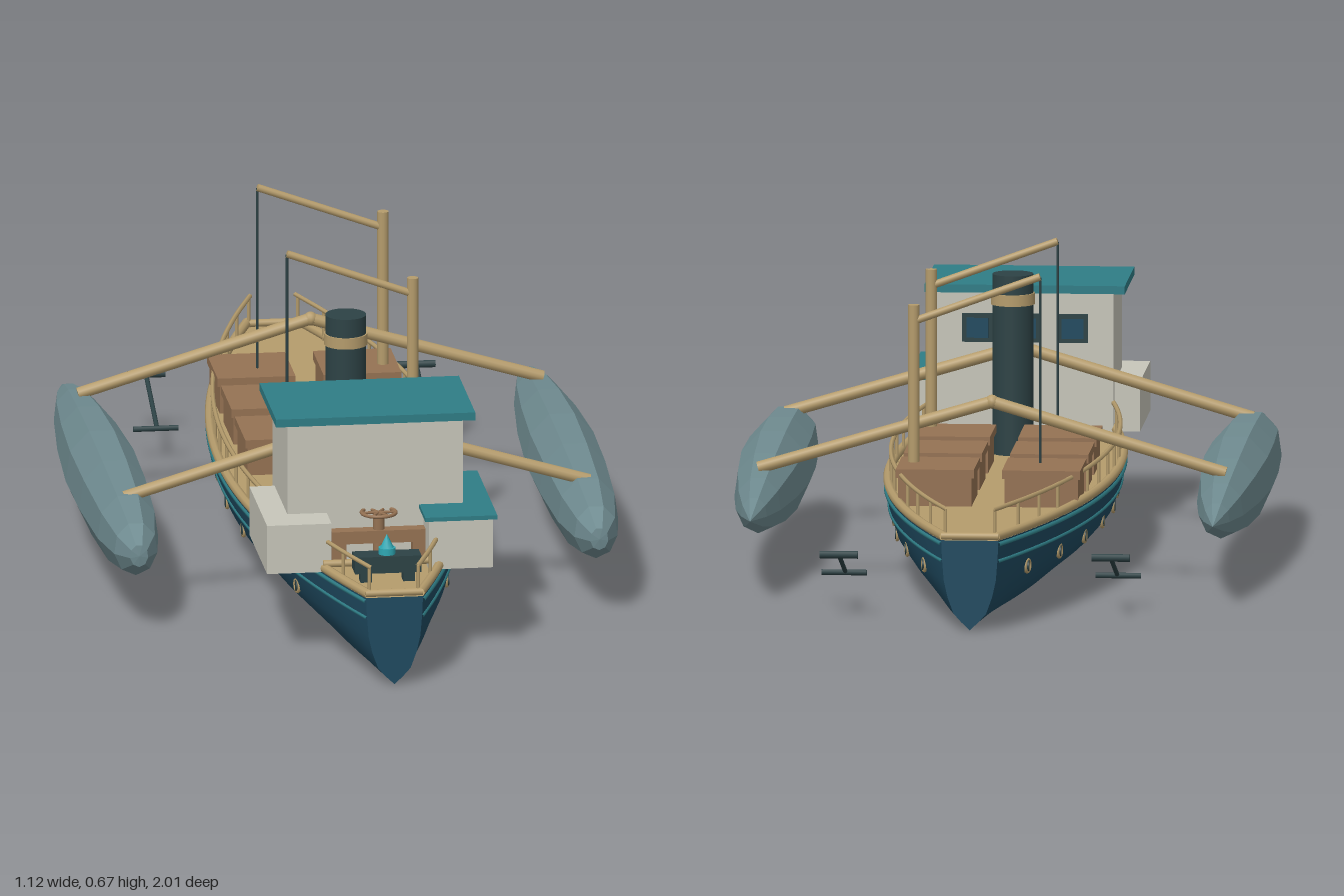
import * as THREE from 'three';

const mat = (name, color) => {
  const m = new THREE.MeshStandardMaterial({ color });
  m.name = name;
  return m;
};

export function createModel() {
  const navy = mat('navy hull', 0x1f4a60);
  const teal = mat('teal trim', 0x2f7d86);
  const tan = mat('tan timber', 0xb59c6c);
  const brown = mat('brown crate', 0x957253);
  const white = mat('off white cabin', 0xc7c6ba);
  const slate = mat('slate float', 0x6f8b90);
  const dark = mat('dark iron', 0x2d4245);
  const cyan = mat('bright cyan', 0x2fa9b5);

  const model = new THREE.Group();
  model.name = 'cargoBoat';
  const V = (x, y, z) => new THREE.Vector3(x, y, z);
  const add = (name, geo, material, x = 0, y = 0, z = 0) => {
    const m = new THREE.Mesh(geo, material);
    m.name = name;
    m.position.set(x, y, z);
    model.add(m);
    return m;
  };
  // box given by its limits on each axis
  const box = (name, material, x0, x1, y0, y1, z0, z1) =>
    add(name, new THREE.BoxGeometry(x1 - x0, y1 - y0, z1 - z0), material,
      (x0 + x1) / 2, (y0 + y1) / 2, (z0 + z1) / 2);
  // round bar between two points
  const rod = (name, material, a, b, r, sides = 12) => {
    const m = add(name, new THREE.CylinderGeometry(r, r, a.distanceTo(b), sides), material);
    m.position.copy(a).lerp(b, 0.5);
    m.quaternion.setFromUnitVectors(V(0, 1, 0), b.clone().sub(a).normalize());
    return m;
  };

  // Hull: one cross-section, narrowed towards both ends
  const DECK = 0.19;
  const beam = z => 0.06 + 0.185 * (1 - z * z);
  const half = [[1, DECK], [0.97, 0.15], [0.91, 0.105], [0.78, 0.07], [0.57, 0.035], [0.3, 0.017], [0, 0]];
  const profile = [...half, ...half.slice(0, -1).reverse().map(([x, y]) => [-x, y])];
  const sideAt = y => {
    const i = Math.max(1, half.findIndex(p => p[1] <= y));
    const [a, b] = [half[i - 1], half[i]];
    return b[0] + (a[0] - b[0]) * (y - b[1]) / (a[1] - b[1]);
  };
  const N = 32, P = profile.length, pos = [], idx = [];
  for (let i = 0; i <= N; i++) {
    const z = -1 + 2 * i / N;
    for (const [x, y] of profile) pos.push(x * beam(z), y, z);
  }
  for (let i = 0; i < N; i++) for (let j = 0; j < P - 1; j++) {
    const a = i * P + j;
    idx.push(a, a + P, a + 1, a + 1, a + P, a + P + 1);
  }
  const hull = new THREE.BufferGeometry();
  hull.setAttribute('position', new THREE.Float32BufferAttribute(pos, 3));
  hull.setIndex(idx);
  hull.computeVertexNormals();
  add('hull', hull, navy);
  const endShape = new THREE.Shape(profile.map(([x, y]) => new THREE.Vector2(x * beam(1), y)));
  add('bowPlate', new THREE.ShapeGeometry(endShape), navy, 0, 0, 1);
  add('sternPlate', new THREE.ShapeGeometry(endShape), navy, 0, 0, -1).rotation.y = Math.PI;

  // Deck and raised gunwale
  const outline = inset => {
    const right = [];
    for (let i = 0; i <= N; i++) {
      const z = -1 + 2 * i / N;
      right.push(new THREE.Vector2(beam(z) - inset, z));
    }
    return [...right, ...right.map(p => new THREE.Vector2(-p.x, p.y)).reverse()];
  };
  add('deck', new THREE.ShapeGeometry(new THREE.Shape(outline(0))), tan, 0, DECK, 0).rotation.x = -Math.PI / 2;

  // Lines that follow the side of the hull
  const sideCurve = (s, y, inset, z0 = -1, z1 = 1) => {
    const pts = [];
    for (let i = 0; i <= 16; i++) {
      const z = z0 + (z1 - z0) * i / 16;
      pts.push(V(s * (beam(z) * (y < DECK ? sideAt(y) : 1) - inset), y, z));
    }
    return new THREE.CatmullRomCurve3(pts);
  };
  for (const s of [-1, 1]) {
    add('gunwale', new THREE.TubeGeometry(sideCurve(s, 0.198, 0.006), 40, 0.01, 8), tan);
    add('sheerStripe', new THREE.TubeGeometry(sideCurve(s, 0.182, 0), 40, 0.005, 6), teal);
    add('rubbingStrake', new THREE.TubeGeometry(sideCurve(s, 0.146, 0), 40, 0.004, 6), teal);
    add('handRail', new THREE.TubeGeometry(sideCurve(s, 0.255, 0.012), 40, 0.005, 6), tan);
    for (let i = 0; i <= 17; i++) {
      const z = -0.99 + i * 1.98 / 17, x = s * (beam(z) - 0.012);
      rod('railPost', tan, V(x, DECK, z), V(x, 0.255, z), 0.004, 6);
    }
    // Portholes
    for (let i = 0; i < 8; i++) {
      const z = -0.83 + i * 0.2086, x = s * beam(z) * sideAt(0.112);
      const yaw = Math.atan(0.37 * z) * s;
      const ring = add('portholeRing', new THREE.TorusGeometry(0.013, 0.004, 6, 16), tan, x, 0.112, z);
      ring.rotation.y = Math.PI / 2 - yaw * s * s;
      const glass = add('portholeGlass', new THREE.CylinderGeometry(0.012, 0.012, 0.008, 14), dark, x, 0.112, z);
      glass.rotation.z = Math.PI / 2;
    }
  }
  rod('sternRail', tan, V(-0.06, 0.198, -0.992), V(0.06, 0.198, -0.992), 0.008);
  rod('bowRail', tan, V(-0.06, 0.198, 0.992), V(0.06, 0.198, 0.992), 0.008);

  // Faceted outrigger floats and their beams
  const stations = [[0, -0.68], [0.36, -0.57], [0.62, -0.45], [0.86, -0.25], [1, -0.03],
    [0.97, 0.18], [0.84, 0.4], [0.6, 0.53], [0.25, 0.585], [0, 0.588]];
  const floatGeo = () => {
    const g = new THREE.LatheGeometry(stations.map(([r, z]) => new THREE.Vector2(r, z)), 9);
    g.rotateX(Math.PI / 2);
    g.scale(0.077, 0.097, 1);
    const flat = g.toNonIndexed();
    flat.computeVertexNormals();
    return flat;
  };
  for (const s of [-1, 1]) {
    add('outriggerFloat', floatGeo(), slate, s * 0.485, 0.175, 0);
    for (const z of [-0.38, 0.38]) rod('outriggerBeam', tan, V(s * 0.49, 0.243, z), V(0, 0.388, z), 0.013);
    // Anchors hung beside the stern
    rod('anchorShank', dark, V(s * 0.285, 0.072, -0.68), V(s * 0.285, 0.135, -0.86), 0.005, 8);
    rod('anchorStock', dark, V(s * 0.24, 0.07, -0.68), V(s * 0.335, 0.07, -0.68), 0.006, 8);
    rod('anchorFluke', dark, V(s * 0.245, 0.135, -0.86), V(s * 0.325, 0.135, -0.86), 0.008, 8);
  }
  for (const z of [-0.38, 0.38]) add('beamJoint', new THREE.SphereGeometry(0.015, 12, 8), tan, 0, 0.388, z);

  // Cargo crates with lids
  for (const z of [-0.455, -0.228, -0.002]) for (const x of [-0.115, 0.108]) {
    box('crate', brown, x - 0.077, x + 0.077, DECK, 0.25, z - 0.083, z + 0.083);
    box('crateLid', brown, x - 0.082, x + 0.082, 0.25, 0.268, z - 0.088, z + 0.088);
  }

  // Funnel
  add('funnel', new THREE.CylinderGeometry(0.043, 0.043, 0.38, 24), dark, 0, 0.38, 0.2);
  add('funnelBand', new THREE.CylinderGeometry(0.046, 0.046, 0.024, 24), tan, 0, 0.518, 0.2);

  // Cargo derricks
  for (const z of [0.053, -0.435]) {
    rod('derrickMast', tan, V(0.16, DECK, z), V(0.16, 0.6, z), 0.012);
    rod('derrickBoom', tan, V(0.16, 0.565, z), V(-0.105, 0.662, z), 0.008);
    rod('derrickCable', dark, V(-0.105, 0.66, z), V(-0.105, 0.268, z), 0.003, 6);
  }

  // Wheelhouse with side lockers
  box('cabin', white, -0.19, 0.18, DECK, 0.488, 0.48, 0.72);
  box('cabinRoof', teal, -0.215, 0.205, 0.488, 0.505, 0.46, 0.73);
  for (const x of [-0.105, -0.005, 0.095]) {
    box('windowFrame', dark, x - 0.032, x + 0.032, 0.382, 0.442, 0.472, 0.481);
    box('windowPane', navy, x - 0.023, x + 0.023, 0.391, 0.433, 0.47, 0.473);
  }
  box('rightLocker', white, -0.243, -0.107, DECK, 0.295, 0.51, 0.8);
  box('leftLocker', white, 0.097, 0.232, DECK, 0.297, 0.52, 0.81);
  box('leftLockerRoof', teal, 0.088, 0.24, 0.297, 0.306, 0.49, 0.82);

  // Steering stand and wheel
  box('standBase', brown, -0.1, 0.1, 0.235, 0.262, 0.725, 0.755);
  for (const x of [-0.085, 0.085]) box('standLeg', brown, x - 0.015, x + 0.015, DECK, 0.24, 0.725, 0.755);
  rod('wheelColumn', brown, V(0, DECK, 0.74), V(0, 0.298, 0.74), 0.012);
  add('wheelRim', new THREE.TorusGeometry(0.036, 0.004, 8, 24), brown, 0, 0.298, 0.74).rotation.x = Math.PI / 2;
  for (let i = 0; i < 3; i++) {
    const a = i * Math.PI / 3, c = 0.036 * Math.cos(a), d = 0.036 * Math.sin(a);
    rod('wheelSpoke', brown, V(-c, 0.298, 0.74 - d), V(c, 0.298, 0.74 + d), 0.003, 6);
  }

  // Bow winch with lamp
  rod('bowCrossBar', tan, V(-0.125, 0.208, 0.8), V(0.125, 0.208, 0.8), 0.008);
  box('winchBox', dark, -0.07, 0.07, 0.212, 0.248, 0.85, 0.898);
  for (const x of [-0.045, 0.045]) box('winchFoot', dark, x - 0.012, x + 0.012, DECK, 0.215, 0.86, 0.888);
  add('lampBase', new THREE.CylinderGeometry(0.018, 0.018, 0.014, 12), cyan, 0, 0.255, 0.875);
  add('lamp', new THREE.ConeGeometry(0.015, 0.03, 8), cyan, 0, 0.276, 0.875);

  return model;
}
